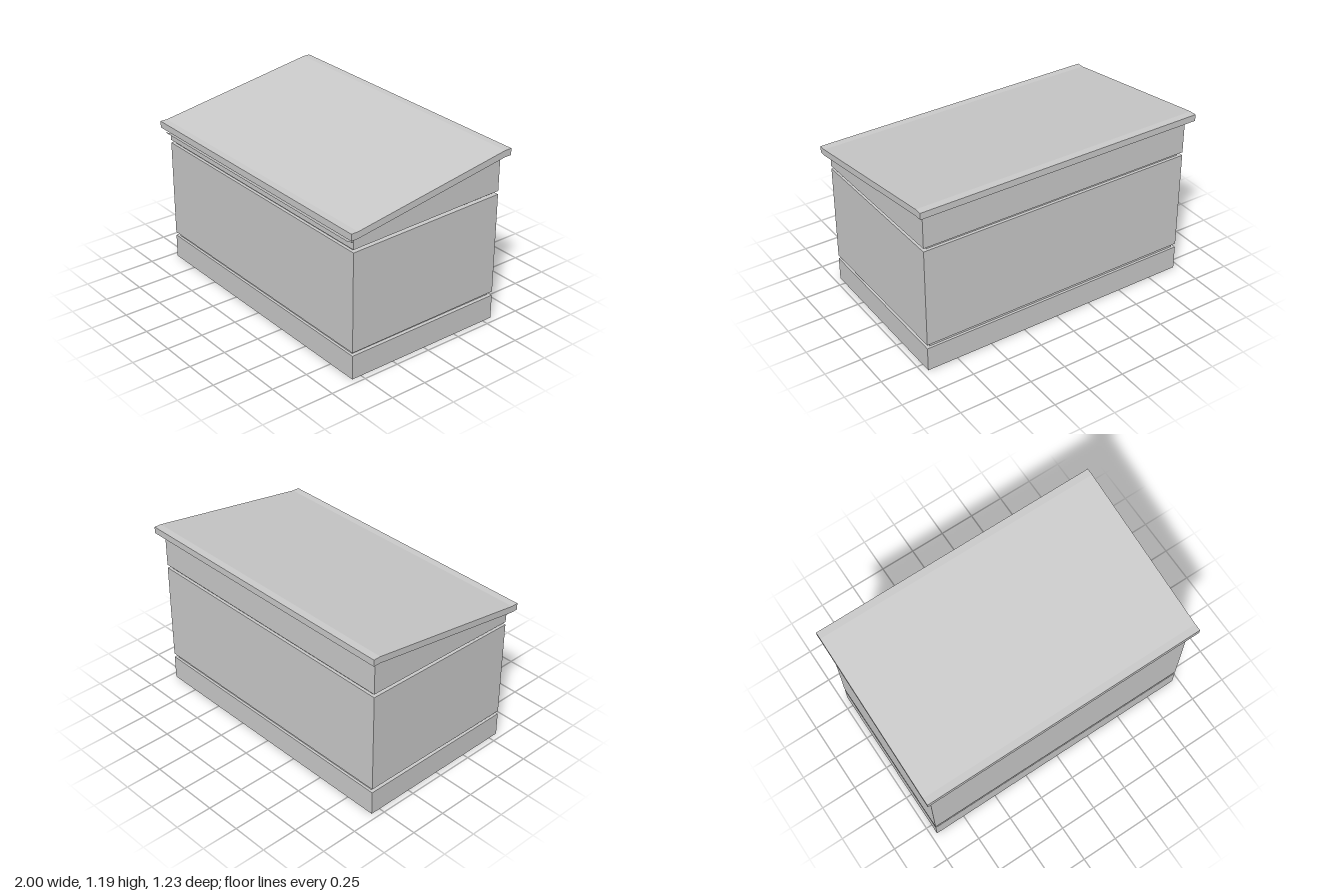
import * as THREE from 'three';

const material = new THREE.MeshStandardMaterial({ color: 0xcccccc, flatShading: true });

// Extrude a side profile, given as [z, y] points, across x and centre it.
function slab(name, points, width) {
  const shape = new THREE.Shape(points.map(([z, y]) => new THREE.Vector2(-z, y)));
  const geometry = new THREE.ExtrudeGeometry(shape, { depth: width, bevelEnabled: false });
  geometry.translate(0, 0, -width / 2);
  geometry.rotateY(Math.PI / 2);
  const mesh = new THREE.Mesh(geometry, material);
  mesh.name = name;
  return mesh;
}

// Four-sided block whose bottom and top may slope from front to back.
function block(name, halfX, halfZ, frontLow, frontHigh, backLow, backHigh) {
  return slab(name, [
    [halfZ, frontLow], [-halfZ, backLow], [-halfZ, backHigh], [halfZ, frontHigh],
  ], halfX * 2);
}

export function createModel() {
  const group = new THREE.Group();
  group.name = 'slopedRoofBox';

  // Stacked body sections, separated by recessed grooves
  group.add(
    block('base', 0.96, 0.567, 0, 0.163, 0, 0.167),
    block('lowerGroove', 0.935, 0.55, 0.163, 0.186, 0.167, 0.194),
    block('body', 0.96, 0.567, 0.186, 0.858, 0.194, 0.881),
    block('upperGroove', 0.93, 0.547, 0.858, 0.878, 0.881, 0.904),
    block('upperBody', 0.96, 0.567, 0.878, 0.967, 0.904, 1.145),
  );

  // Overhanging roof with level front and back lips
  group.add(slab('roof', [
    [0.616, 0.967], [0.567, 0.967], [-0.567, 1.145], [-0.616, 1.145],
    [-0.616, 1.19], [-0.567, 1.19], [0.567, 1.012], [0.616, 1.012],
  ], 2));

  // Thin drip strip, rising outwards beneath the front lip
  const stripMaterial = material.clone();
  stripMaterial.side = THREE.DoubleSide;
  const rise = 0.02, reach = 0.043;
  const strip = new THREE.Mesh(new THREE.PlaneGeometry(1.92, Math.hypot(rise, reach)), stripMaterial);
  strip.name = 'dripStrip';
  strip.rotation.x = Math.atan2(reach, rise);
  strip.position.set(0, 0.925 + rise / 2, 0.567 + reach / 2);
  group.add(strip);

  return group;
}
